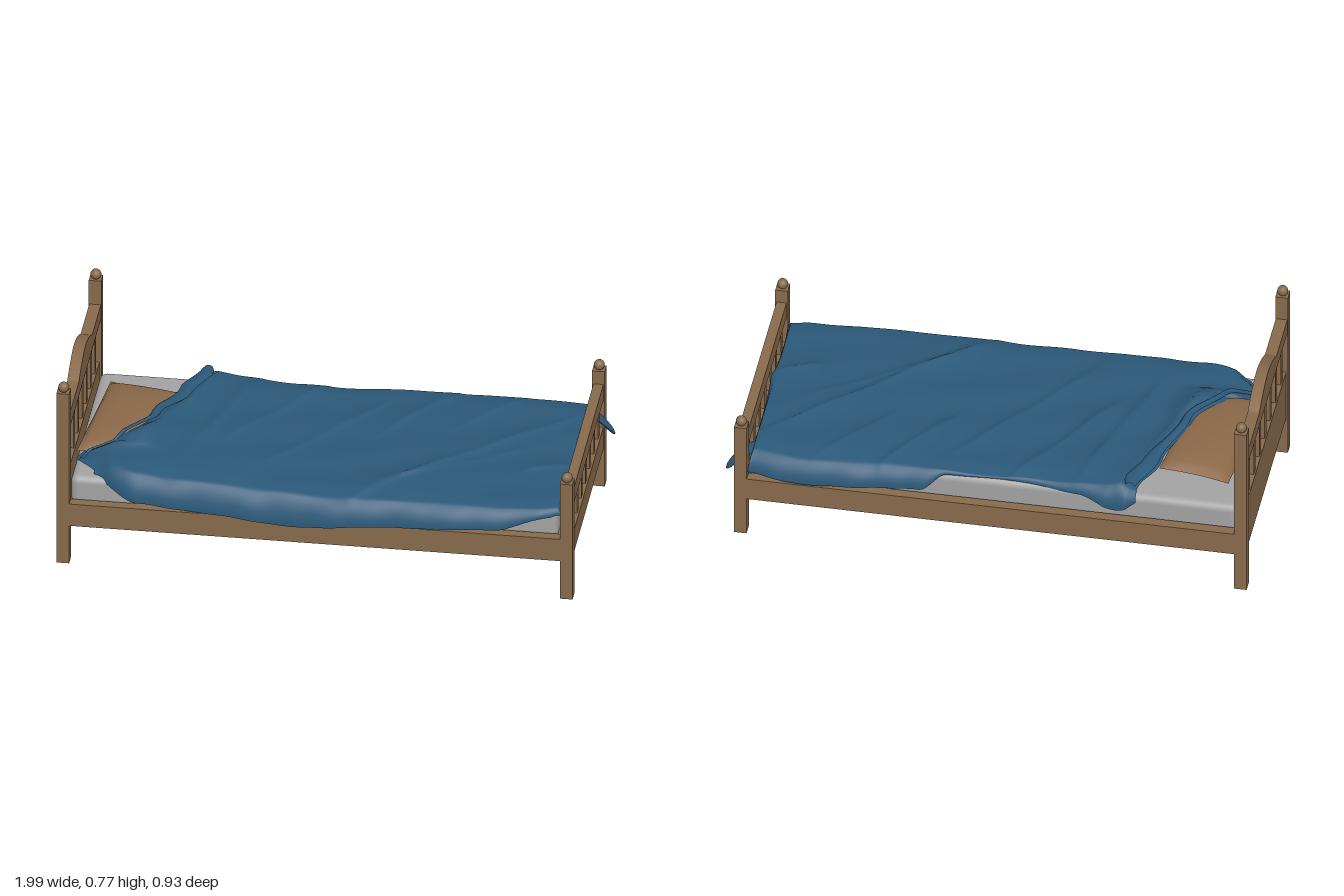
import * as THREE from 'three';
import { toCreasedNormals } from 'three/addons/utils/BufferGeometryUtils.js';
import { RoundedBoxGeometry } from 'three/addons/geometries/RoundedBoxGeometry.js';

const { lerp, smoothstep, clamp } = THREE.MathUtils;

const material = (name, color, side = THREE.FrontSide) => {
  const m = new THREE.MeshStandardMaterial({ color, side });
  m.name = name;
  return m;
};

// Smooth interpolation through [position, value] keys
function keyed(keys, p) {
  if (p <= keys[0][0]) return keys[0][1];
  for (let i = 1; i < keys.length; i++) {
    const [a, va] = keys[i - 1], [b, vb] = keys[i];
    if (p <= b) return lerp(va, vb, smoothstep(p, a, b));
  }
  return keys[keys.length - 1][1];
}

// Surface from a rule f(u, v) -> [x, y, z], u and v running 0..1
function surface(nu, nv, f) {
  const pos = [], index = [];
  for (let i = 0; i <= nu; i++) for (let j = 0; j <= nv; j++) pos.push(...f(i / nu, j / nv));
  for (let i = 0; i < nu; i++) for (let j = 0; j < nv; j++) {
    const a = i * (nv + 1) + j, b = a + nv + 1;
    index.push(a, a + 1, b, b, a + 1, b + 1);
  }
  const g = new THREE.BufferGeometry();
  g.setAttribute('position', new THREE.Float32BufferAttribute(pos, 3));
  g.setIndex(index);
  g.computeVertexNormals();
  return g;
}

// Blanket outline, hem heights and top height
const HEAD_EDGE = [[-0.43, -0.57], [-0.24, -0.635], [0, -0.71], [0.2, -0.82], [0.25, -0.93], [0.33, -0.95], [0.4, -0.87]];
const FRONT_EDGE = [[-0.95, 0.32], [-0.85, 0.35], [-0.7, 0.385], [-0.5, 0.398], [0, 0.412], [0.6, 0.402], [0.8, 0.392], [0.9, 0.375]];
const BACK_EDGE = [[-0.6, -0.395], [-0.4, -0.395], [-0.19, -0.392], [0.1, -0.4], [0.35, -0.4], [0.69, -0.418], [0.9, -0.395]];
const FRONT_HEM = [[-0.95, 0.36], [-0.85, 0.33], [-0.7, 0.28], [-0.4, 0.26], [-0.1, 0.238], [0.2, 0.262], [0.65, 0.278], [0.85, 0.325], [0.9, 0.335]];
const BACK_HEM = [[-0.6, 0.33], [-0.5, 0.29], [-0.35, 0.33], [-0.1, 0.345], [0.15, 0.345], [0.25, 0.285], [0.7, 0.265], [0.9, 0.28]];
const FOOT_HEM = [[-0.4, 0.26], [-0.2, 0.27], [-0.1, 0.29], [-0.02, 0.32], [0.05, 0.355], [0.12, 0.32], [0.2, 0.282], [0.3, 0.265], [0.38, 0.32]];
const TOP = [[-0.95, 0.357], [-0.88, 0.37], [-0.8, 0.392], [-0.7, 0.394], [-0.58, 0.384], [-0.4, 0.382], [-0.2, 0.366], [0, 0.361], [0.35, 0.37], [0.6, 0.363], [0.88, 0.363]];

// Height of the blanket, lifted where it lies over the pillow
const blanketTop = (x, z) =>
  keyed(TOP, x) + 0.02 * (1 - smoothstep(z, 0.14, 0.26)) * (1 - smoothstep(x, -0.72, -0.6));

// Ridges along lines [x0, z0, x1, z1, height]
const CREASES = [
  [0.88, -0.3, 0.1, 0.42, 0.014], [0.75, -0.05, 0.2, 0.3, 0.008], [-0.35, -0.36, -0.55, 0.25, 0.014],
  [-0.1, -0.38, -0.42, 0.1, 0.011], [0.15, -0.3, -0.3, 0.3, 0.01], [0.4, -0.4, 0.15, -0.05, 0.012],
  [0.65, -0.4, 0.4, -0.1, 0.009], [-0.5, -0.4, -0.72, 0.2, 0.012], [0.88, 0.08, 0.72, 0.14, 0.012],
];
function ridge([x0, z0, x1, z1, h], x, z) {
  const dx = x1 - x0, dz = z1 - z0, len = Math.hypot(dx, dz);
  const t = ((x - x0) * dx + (z - z0) * dz) / (len * len);
  const d = ((x - x0) * dz - (z - z0) * dx) / len;
  const fade = smoothstep(t, -0.15, 0.2) * (1 - smoothstep(t, 0.8, 1.15));
  return h * fade * Math.exp(-Math.abs(d) / (d > 0 ? 0.014 : 0.05));
}

function blanketPoint(u, v) {
  const U = 0.9, V = 0.14;
  const s = clamp((v - V) / (1 - 2 * V), 0, 1);
  const foot = Math.max(0, (u - U) / (1 - U));
  const back = Math.max(0, 1 - v / V), front = Math.max(0, (v - 1 + V) / V);
  const x = lerp(keyed(HEAD_EDGE, lerp(-0.43, 0.4, s)), 0.884, Math.min(u / U, 1));
  let z = lerp(keyed(BACK_EDGE, x), keyed(FRONT_EDGE, x), s);

  let top = blanketTop(x, z) + 0.004 * Math.sin(13 * x + 9 * z) * Math.sin(17 * z - 5 * x);
  for (const c of CREASES) top += ridge(c, x, z);
  top += 0.006 * Math.exp(-(((u - 0.05) / 0.03) ** 2)) - 0.02 * Math.max(0, 1 - u / 0.03);
  const edge = Math.max(0, Math.abs(s - 0.5) * 2 - 0.85) / 0.15;
  top = Math.max(top - 0.008 * edge, 0.352);

  // Hanging sides and foot
  const side = Math.max(back, front);
  const hem = front > 0 ? keyed(FRONT_HEM, x) : keyed(BACK_HEM, x);
  const sideDrop = Math.max(0, top - hem);
  const footDrop = Math.max(0, top - keyed(FOOT_HEM, z));
  const out = Math.sin(side * Math.PI / 2) * Math.min(1, sideDrop / 0.08);
  z += Math.sign(front - back) * out * (0.05 + 0.004 * Math.sin(17 * x) + 0.0015 * Math.sin(41 * x));
  const y = top - Math.max(sideDrop * side ** 1.3, footDrop * foot ** 1.2);
  return [x + 0.016 * Math.sin(foot * Math.PI / 2), y, z];
}

// Cushion stretched between four corners, top or bottom half
function pillowPoint(half) {
  const c = [[-0.9, -0.3], [-0.955, 0.23], [-0.63, -0.255], [-0.69, 0.22]];
  return (u, v) => {
    const a = 2 * u - 1, b = 2 * v - 1;
    const mix = k => (1 - u) * ((1 - v) * c[0][k] + v * c[1][k]) + u * ((1 - v) * c[2][k] + v * c[3][k]);
    const puff = Math.pow(Math.max(0, (1 - a * a) * (1 - b * b)), 0.45);
    const z = mix(1) - 0.01 * b * (1 - a * a);
    return [mix(0), 0.366 + half * puff * (half > 0 ? 0.044 : 0.02), z];
  };
}

export function createModel() {
  const bed = new THREE.Group();
  bed.name = 'bed';
  const wood = material('wood', 0x876a4c);
  const grey = material('mattress grey', 0xa3a3a3);
  const tan = material('pillow tan', 0x8b6848, THREE.DoubleSide);
  const blue = material('blanket blue', 0x2b5878, THREE.DoubleSide);

  const add = (name, geometry, mat, x = 0, y = 0, z = 0) => {
    const m = new THREE.Mesh(geometry, mat);
    m.name = name;
    m.position.set(x, y, z);
    bed.add(m);
  };
  // Box from its bounds
  const box = (name, x0, x1, y0, y1, z0, z1) =>
    add(name, new THREE.BoxGeometry(x1 - x0, y1 - y0, z1 - z0), wood, (x0 + x1) / 2, (y0 + y1) / 2, (z0 + z1) / 2);

  const ZC = -0.011, HEAD = -0.976, FOOT = 0.924, P = 0.024;

  // Posts with ball finials
  for (const [end, x, h] of [['head', HEAD, 0.73], ['foot', FOOT, 0.495]]) {
    for (const s of [-1, 1]) {
      const z = ZC + s * 0.425;
      box(end + 'Post', x - P, x + P, 0, h, z - P, z + P);
      add(end + 'Finial', new THREE.SphereGeometry(0.0205, 20, 14), wood, x, h + 0.016, z);
    }
  }

  // Side rails and slats
  for (const s of [-1, 1]) {
    const z = ZC + s * 0.427;
    box('sideRail', HEAD + P, FOOT - P, 0.161, 0.255, z - 0.02, z + 0.02);
  }
  for (let i = 0; i < 20; i++) {
    const x = -0.91 + i * 0.0935;
    box('slat', x - 0.025, x + 0.025, 0.185, 0.222, ZC - 0.408, ZC + 0.408);
  }

  // Head panel, foot rails and balusters
  const z0 = ZC - 0.402, z1 = ZC + 0.402;
  box('headPanel', HEAD - 0.017, HEAD + 0.017, 0.161, 0.38, z0, z1);
  box('footLowerRail', FOOT - 0.019, FOOT + 0.019, 0.161, 0.255, z0, z1);
  box('footTopRail', FOOT - 0.019, FOOT + 0.019, 0.372, 0.44, z0, z1);
  for (let i = -3; i <= 3; i++) {
    const z = -0.006 + i * 0.111;
    box('headBaluster', HEAD - 0.012, HEAD + 0.012, 0.375, 0.56, z - 0.017, z + 0.017);
    box('footBaluster', FOOT - 0.012, FOOT + 0.012, 0.25, 0.376, z - 0.017, z + 0.017);
  }

  // Arched head rail with a rounded underside
  const rail = surface(100, 15, (u, v) => {
    const z = lerp(z0, z1, u), k = Math.round(v * 15);
    const h = 0.628 + 0.057 * Math.max(0, 1 - (Math.abs(z + 0.01) / 0.178) ** 1.7);
    if (k === 0 || k === 15) return [0.022, h, z];
    if (k === 1) return [-0.022, h, z];
    const a = Math.PI * (1 + (k - 2) / 12);
    return [0.022 * Math.cos(a), 0.573 + 0.04 * Math.sin(a), z];
  });
  add('headTopRail', toCreasedNormals(rail, 0.7), wood, HEAD);

  // Bedding
  add('mattress', new RoundedBoxGeometry(1.84, 0.122, 0.8, 4, 0.028), grey, -0.034, 0.284, ZC);
  add('pillowTop', surface(20, 24, pillowPoint(1)), tan);
  add('pillowBottom', surface(20, 24, pillowPoint(-1)), tan);
  add('blanket', surface(130, 90, blanketPoint), blue);

  // Turned-back strip of the blanket along its head edge
  add('blanketFold', surface(12, 24, (u, v) => {
    const z = lerp(-0.41, 0.3, v);
    const w = 0.02 + 0.07 * (1 - v) ** 2 * Math.sin(Math.min(1, v * 5 + 0.15) * Math.PI / 2);
    const x = keyed(HEAD_EDGE, z) + 0.005 + u * w;
    return [x, blanketTop(x, z) + 0.006 + 0.014 * Math.sin(u * Math.PI * 0.85), z];
  }), blue);

  // Corner of the blanket poking out past the foot post
  add('blanketTail', surface(16, 14, (u, v) => {
    const a = v * Math.PI * 2, end = Math.sqrt(1 - u ** 6);
    const y = 0.345 - 0.1 * u ** 1.5 + (0.01 + 0.01 * u) * end * Math.sin(a);
    return [0.88 + 0.112 * u + 0.006 * end * Math.cos(a), y, lerp(-0.37, -0.39, u) + lerp(0.036, 0.02, u) * end * Math.cos(a)];
  }), blue);

  return bed;
}
